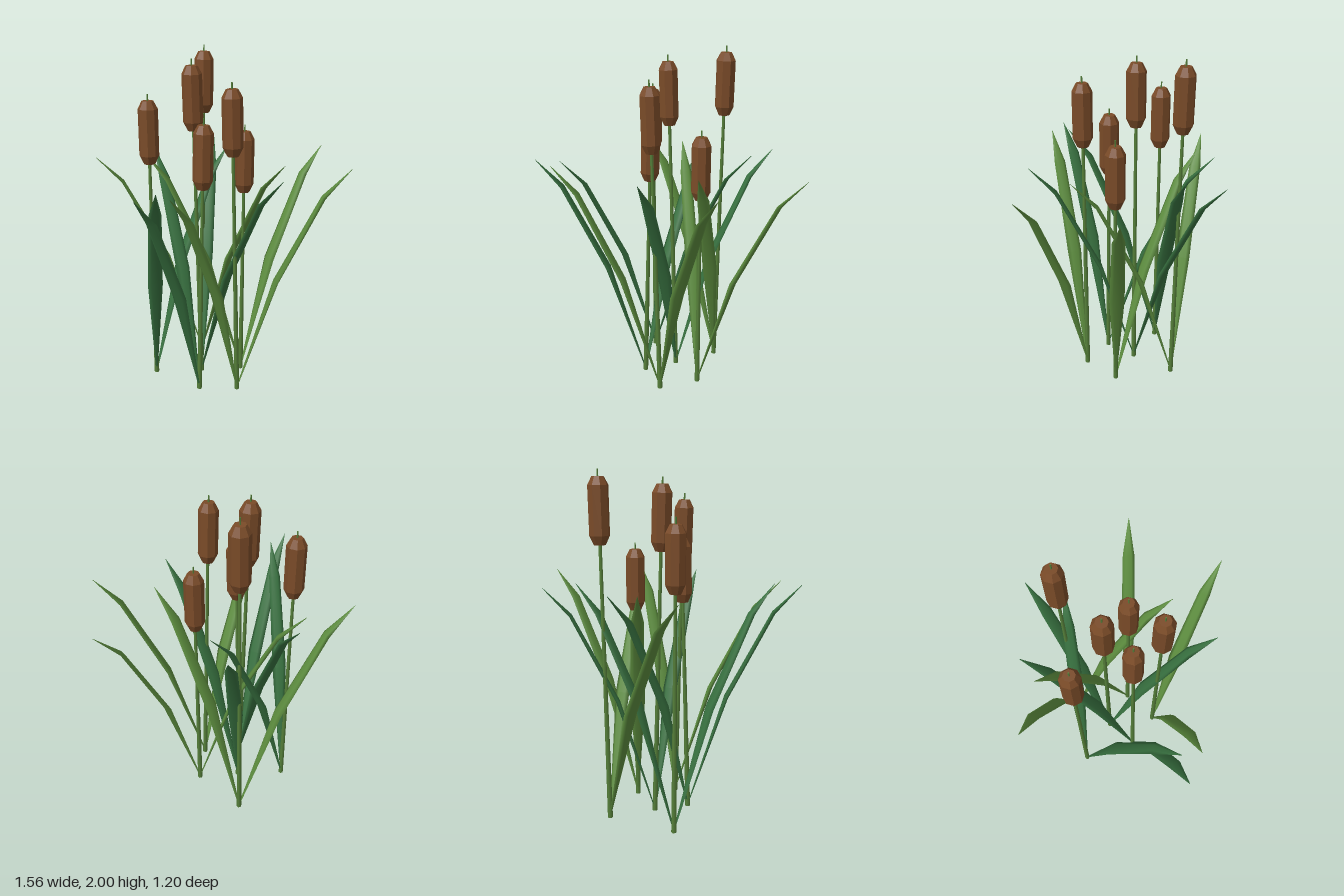
import * as THREE from 'three';

const mat = (name, color, flatShading = false) => {
  const m = new THREE.MeshStandardMaterial({ color, flatShading });
  m.name = name;
  return m;
};

// Each plant: base and head centre on the ground plan, head bottom height, two leaf tips
const PLANTS = [
  { base: [-0.265, -0.3], head: [-0.265, -0.3], y: 1.37, tips: [[-0.63, 0.215], [0.36, -0.3]], dark: true },
  { base: [0.145, -0.32], head: [0.18, -0.325], y: 1.605, tips: [[0.24, 0.29], [-0.43, -0.6]], dark: false },
  { base: [-0.045, -0.115], head: [-0.09, -0.12], y: 1.565, tips: [[-0.015, 0.5], [0.435, -0.51]], dark: true },
  { base: [-0.195, 0.03], head: [-0.145, 0.025], y: 1.265, tips: [[-0.78, 0.235], [-0.015, -0.57]], dark: true },
  { base: [0.155, 0.035], head: [0.165, 0.037], y: 1.187, tips: [[0.78, 0.11], [-0.15, -0.5]], dark: false },
  { base: [-0.03, 0.19], head: [-0.075, 0.183], y: 1.47, tips: [[-0.63, 0.32], [0.445, 0.595]], dark: false },
];
const HEAD = 0.36;

// Leaf stations: fraction outwards, height, half width, half thickness
const STATIONS = [
  [0, 0.01, 0.005, 0.003],
  [0.35, 0.71, 0.043, 0.014],
  [0.76, 1.22, 0.034, 0.011],
  [1, 1.38, 0.001, 0.001],
];

// Bent blade with a flattened six-sided section
function leafGeometry([bx, bz], [tx, tz]) {
  const SIDES = 6;
  const centres = STATIONS.map(([f, y]) =>
    new THREE.Vector3(bx + (tx - bx) * f, y, bz + (tz - bz) * f));
  const side = new THREE.Vector3(tz - bz, 0, bx - tx).normalize();
  const pos = [], index = [];
  STATIONS.forEach(([, , w, t], i) => {
    const tangent = centres[Math.min(i + 1, 3)].clone().sub(centres[Math.max(i - 1, 0)]).normalize();
    const normal = tangent.cross(side);
    for (let k = 0; k < SIDES; k++) {
      const a = (k / SIDES) * Math.PI * 2;
      const p = centres[i].clone()
        .addScaledVector(side, Math.cos(a) * w)
        .addScaledVector(normal, Math.sin(a) * t);
      pos.push(p.x, p.y, p.z);
      if (i < STATIONS.length - 1) {
        const p0 = i * SIDES + k, p1 = i * SIDES + (k + 1) % SIDES;
        index.push(p0, p1, p0 + SIDES, p1, p1 + SIDES, p0 + SIDES);
      }
    }
  });
  const g = new THREE.BufferGeometry();
  g.setAttribute('position', new THREE.Float32BufferAttribute(pos, 3));
  g.setIndex(index);
  g.computeVertexNormals();
  return g;
}

export function createModel() {
  const model = new THREE.Group();
  model.name = 'reedClump';
  const stemMat = mat('stemGreen', 0x56803a);
  const headMat = mat('seedHeadBrown', 0x7a4b28, true);
  const darkLeaf = mat('darkLeafGreen', 0x37703f);
  const lightLeaf = mat('lightLeafGreen', 0x5c8c3e);

  // Eight-sided seed head with chamfered ends
  const headGeo = new THREE.LatheGeometry([
    [0, 0], [0.033, 0], [0.057, 0.05], [0.057, 0.315], [0.033, HEAD], [0, HEAD],
  ].map(([r, y]) => new THREE.Vector2(r, y)), 8);
  const spikeGeo = new THREE.CylinderGeometry(0.004, 0.005, 0.06, 6);

  const add = (parent, name, geo, material, y = 0) => {
    const m = new THREE.Mesh(geo, material);
    m.name = name;
    m.position.y = y;
    parent.add(m);
  };

  for (const { base, head, y, tips, dark } of PLANTS) {
    const plant = new THREE.Group();
    plant.name = 'reedPlant';

    // Slightly leaning stalk: stem, seed head and spike
    const stalk = new THREE.Group();
    stalk.name = 'stalk';
    stalk.position.set(base[0], 0, base[1]);
    const lean = new THREE.Vector3(head[0] - base[0], y + HEAD / 2, head[1] - base[1]).normalize();
    stalk.quaternion.setFromUnitVectors(new THREE.Vector3(0, 1, 0), lean);
    add(stalk, 'stem', new THREE.CylinderGeometry(0.009, 0.015, y + 0.02, 6), stemMat, (y + 0.02) / 2);
    add(stalk, 'seedHead', headGeo, headMat, y);
    add(stalk, 'spike', spikeGeo, stemMat, y + HEAD + 0.007);
    plant.add(stalk);

    // Two arching leaves
    for (const tip of tips) add(plant, 'leaf', leafGeometry(base, tip), dark ? darkLeaf : lightLeaf);
    model.add(plant);
  }
  return model;
}
